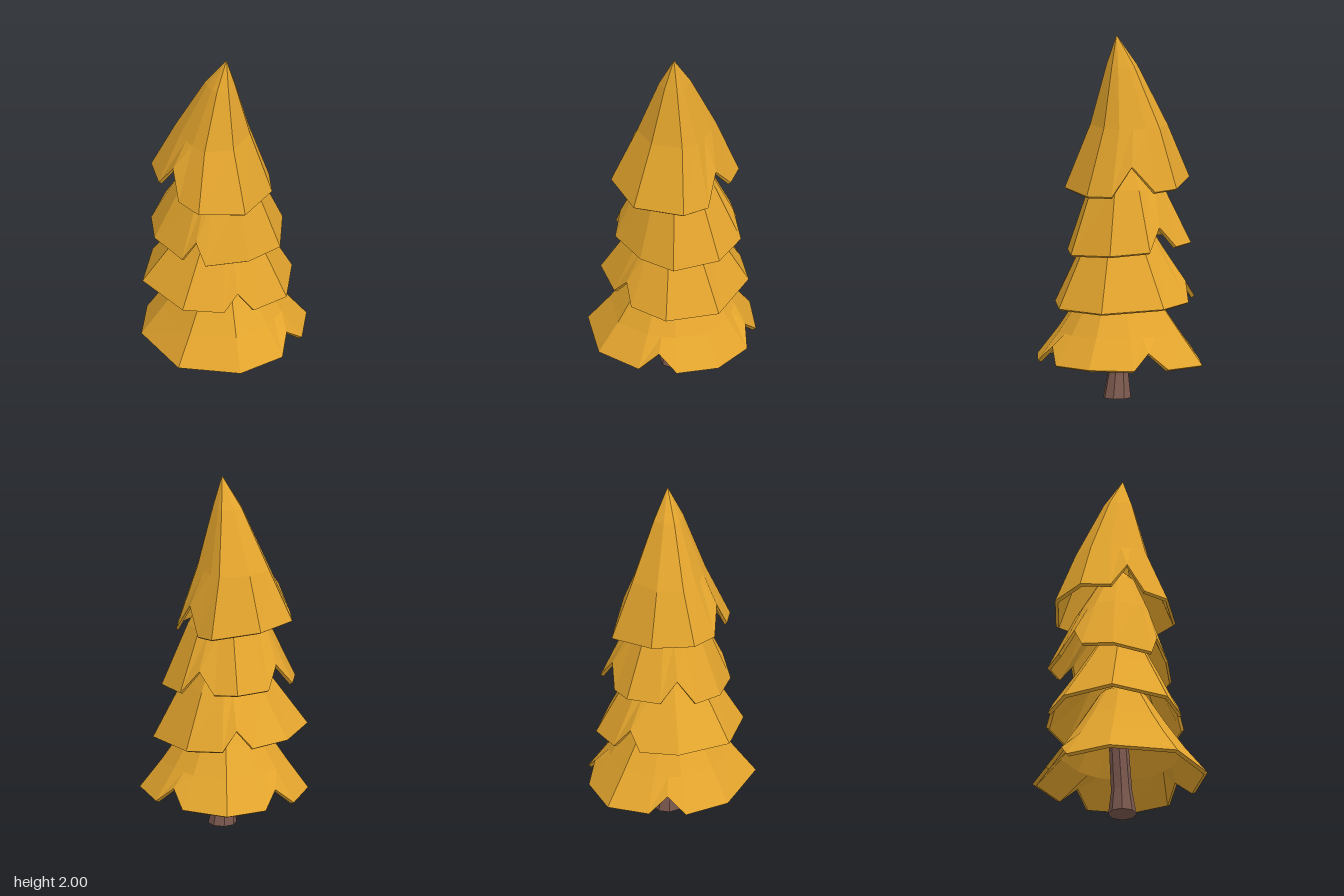
import * as THREE from 'three';

// Joins rings of points, first and last shrunk to a point, into a faceted surface.
function skin(rings) {
  const pos = [];
  for (let r = 0; r < rings.length - 1; r++) {
    const lo = rings[r], hi = rings[r + 1], n = lo.length;
    for (let i = 0; i < n; i++) {
      const j = (i + 1) % n;
      if (r > 0) pos.push(...lo[i], ...lo[j], ...hi[j]);
      if (r < rings.length - 2) pos.push(...lo[i], ...hi[j], ...hi[i]);
    }
  }
  const geo = new THREE.BufferGeometry();
  geo.setAttribute('position', new THREE.Float32BufferAttribute(pos, 3));
  geo.computeVertexNormals();
  return geo;
}

// Outline on a tilted plane; each listed corner is followed by a notch halfway
// to the next one, raised and pulled inward at the rim only.
function makeOutline({ corners, plane: [y0, slopeX, slopeZ], notches, lift }) {
  const point = (x, z, up, pull) => ({ x, y: y0 + slopeX * x + slopeZ * z + up, z, pull });
  return corners.flatMap(([x, z], i) => {
    const points = [point(x, z, 0, 1)];
    if (notches.includes(i)) {
      const [nx, nz] = corners[(i + 1) % corners.length];
      points.push(point((x + nx) / 2, (z + nz) / 2, lift, 0.92));
    }
    return points;
  });
}

// Hollow skirt: inner wall from its peak down, thin lip, then outer wall up to the tip.
// Each profile entry is [outline scale, height, z shift, x shift].
function tierGeometry(tier) {
  const outline = makeOutline(tier);
  const wall = (inset, drop) => tier.profile.map(([s, y, dz, dx = 0]) =>
    outline.map(({ x, z }) => [x * s * inset + dx, y - drop, z * s * inset + dz]));
  const edge = (inset, drop) =>
    outline.map(({ x, y, z, pull }) => [x * pull * inset, y - drop, z * pull * inset]);
  return skin([...wall(0.92, 0.03).reverse(), edge(0.955, 0.01), edge(1, 0), ...wall(1, 0)]);
}

export function createModel() {
  const tree = new THREE.Group();
  tree.name = 'tree';
  const foliage = new THREE.MeshStandardMaterial({ color: 0xe4a52d });
  foliage.name = 'golden foliage';
  const bark = new THREE.MeshStandardMaterial({ color: 0x7d5a50 });
  bark.name = 'brown bark';

  const add = (name, geometry, material) => {
    const mesh = new THREE.Mesh(geometry, material);
    mesh.name = name;
    tree.add(mesh);
  };

  // Foliage tiers; corners run left, front, right, back as [x, z].
  add('bottomFoliage', tierGeometry({
    corners: [[-0.45, 0.145], [-0.23, 0.41], [0.04, 0.445], [0.24, 0.375], [0.41, 0.215], [0.45, -0.03],
      [0.395, -0.225], [0.235, -0.435], [0, -0.45], [-0.2, -0.41], [-0.39, -0.235]],
    plane: [0.208, 0, 0.02], notches: [2, 5, 8], lift: 0.09,
    profile: [[0.74, 0.37, 0], [0.52, 0.52, 0], [0.28, 0.7, 0], [0, 0.78, 0]],
  }), foliage);

  add('lowerMiddleFoliage', tierGeometry({
    corners: [[-0.39, 0.11], [-0.22, 0.26], [-0.07, 0.335], [0.155, 0.345], [0.37, 0.14],
      [0.36, -0.205], [0.22, -0.36], [0.06, -0.415], [-0.16, -0.41], [-0.395, -0.22]],
    plane: [0.54, -0.05, -0.05], notches: [1, 6], lift: 0.1,
    profile: [[0.6, 0.82, 0], [0.3, 1.02, 0], [0, 1.1, 0]],
  }), foliage);

  add('upperMiddleFoliage', tierGeometry({
    corners: [[-0.335, 0.04], [-0.27, 0.16], [-0.05, 0.27], [0.165, 0.28], [0.345, 0.09],
      [0.355, -0.13], [0.235, -0.29], [0.14, -0.385], [-0.05, -0.395], [-0.235, -0.335], [-0.335, -0.19]],
    plane: [0.835, 0, -0.08], notches: [0, 5, 8], lift: 0.12,
    profile: [[0.6, 1.17, -0.01], [0.28, 1.38, -0.01], [0, 1.46, -0.01]],
  }), foliage);

  add('topFoliage', tierGeometry({
    corners: [[-0.305, 0.145], [-0.085, 0.28], [0.18, 0.195], [0.265, 0.07], [0.268, -0.17],
      [0.25, -0.29], [0, -0.395], [-0.23, -0.34], [-0.305, -0.19], [-0.325, 0]],
    plane: [1.17, -0.08, -0.1], notches: [3, 8], lift: 0.15,
    profile: [[0.62, 1.5, -0.03], [0.25, 1.83, -0.01, 0.004], [0, 2, 0.008, 0.012]],
  }), foliage);

  // Trunk flares toward the ground and leans back; rings are [radius, height, x, z].
  const trunkRings = [[0, 0, 0.012, 0.005], [0.078, 0, 0.012, 0.005], [0.058, 0.13, 0.004, -0.002],
    [0.056, 0.24, 0.002, -0.01], [0.05, 0.66, -0.01, -0.04], [0, 0.66, -0.01, -0.04]];
  add('trunk', skin(trunkRings.map(([r, y, cx, cz]) =>
    Array.from({ length: 8 }, (_, i) => {
      const a = (i + 0.5) * Math.PI / 4;
      return [cx + r * Math.sin(a), y, cz + r * Math.cos(a)];
    }))), bark);
  return tree;
}
